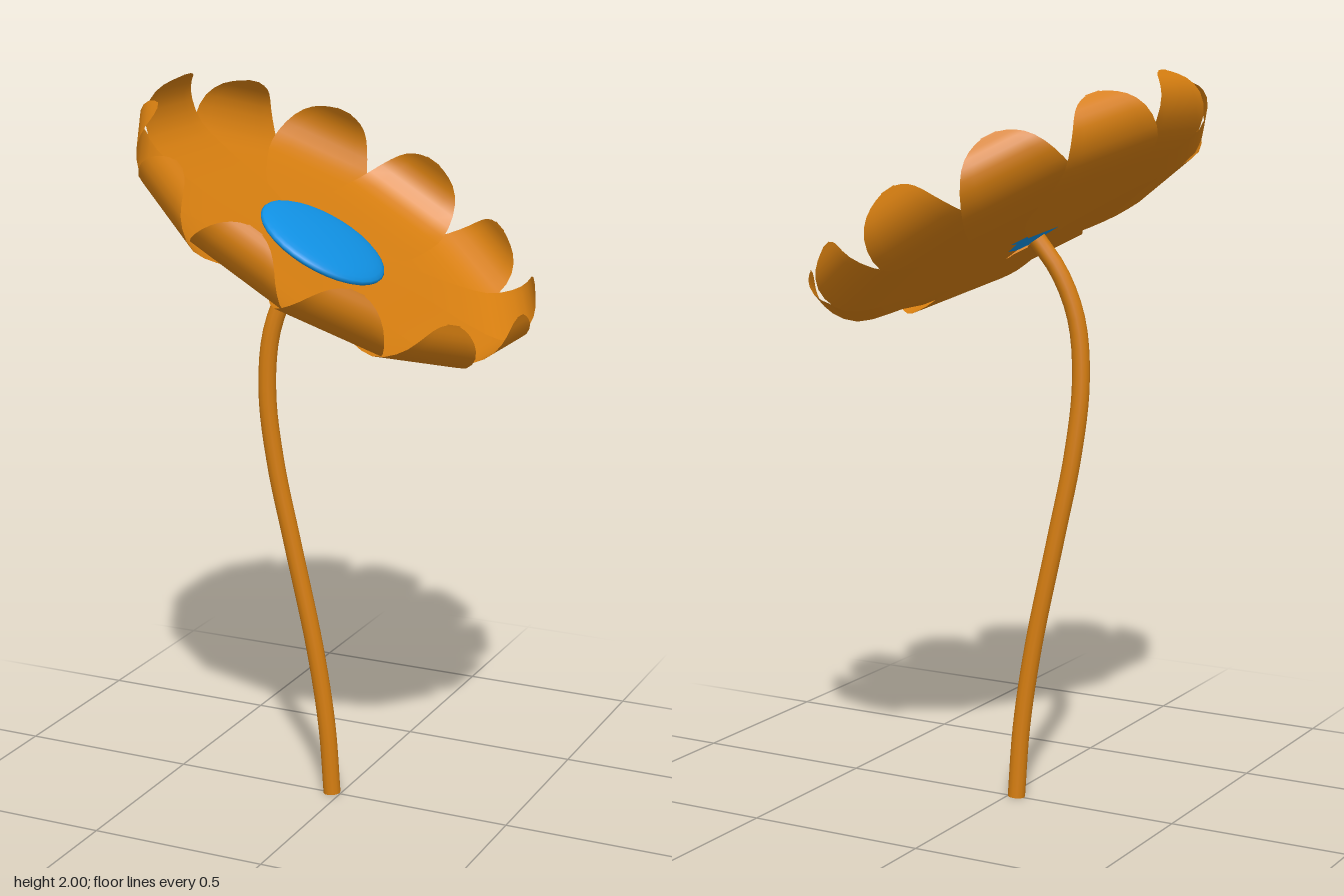
import * as THREE from 'three';

const v3 = (x, y, z) => new THREE.Vector3(x, y, z);

// One cupped petal: a plane swept along a profile that runs outward, then curls up.
function petalGeometry() {
  const profile = new THREE.CatmullRomCurve3([
    v3(0.08, 0, 0), v3(0.25, 0.008, 0), v3(0.42, 0.018, 0), v3(0.52, 0.042, 0),
    v3(0.57, 0.1, 0), v3(0.575, 0.145, 0), v3(0.557, 0.19, 0),
  ]);
  const halfWidth = (s) => {
    if (s < 0.4) return 0.055 + 0.1 * Math.sin((s / 0.4) * Math.PI / 2);
    if (s < 0.6) return 0.155;
    return 0.155 * Math.sqrt(Math.max(0.02, 1 - ((s - 0.6) / 0.4) ** 2));
  };
  const geo = new THREE.PlaneGeometry(2, 1, 6, 18);
  const pos = geo.attributes.position;
  for (let i = 0; i < pos.count; i++) {
    const t = pos.getX(i);
    const s = Math.sin((pos.getY(i) + 0.5) * Math.PI / 2);
    const p = profile.getPointAt(Math.min(1, s));
    pos.setXYZ(i, p.x, p.y, t * halfWidth(s));
  }
  geo.computeVertexNormals();
  return geo;
}

export function createModel() {
  const orange = new THREE.MeshStandardMaterial({ color: 0xd67e10, side: THREE.DoubleSide });
  orange.name = 'orange';
  const blue = new THREE.MeshStandardMaterial({ color: 0x1090e2 });
  blue.name = 'blue';

  const model = new THREE.Group();
  model.name = 'flower';
  const add = (parent, name, geo, mat) => {
    const mesh = new THREE.Mesh(geo, mat);
    mesh.name = name;
    parent.add(mesh);
    return mesh;
  };

  // Curved stem
  const path = new THREE.CatmullRomCurve3([
    v3(-0.025, 0, 0), v3(-0.037, 0.2, 0.007), v3(-0.068, 0.43, 0.018),
    v3(-0.128, 0.74, 0.036), v3(-0.168, 0.96, 0.052), v3(-0.186, 1.16, 0.064),
    v3(-0.172, 1.33, 0.064), v3(-0.128, 1.455, 0.05), v3(-0.07, 1.545, 0.03),
  ]);
  add(model, 'stem', new THREE.TubeGeometry(path, 40, 0.024, 12, false), orange);
  const cap = add(model, 'stemBase', new THREE.CircleGeometry(0.024, 12), orange);
  cap.rotation.x = Math.PI / 2;
  cap.position.set(-0.025, 0.001, 0);

  // Tilted flower head
  const head = new THREE.Group();
  head.name = 'flowerHead';
  head.position.set(-0.064, 1.549, 0);
  head.rotation.z = -0.535;
  model.add(head);

  // Twelve petals, overlapping in three layers
  const petal = petalGeometry();
  for (let k = 0; k < 12; k++) {
    const mesh = add(head, 'petal' + (k + 1), petal, orange);
    mesh.rotation.y = -k * Math.PI / 6;
    mesh.position.y = [0, -0.014, -0.007][k % 3];
  }

  // Domed centre
  const centre = add(head, 'centre', new THREE.SphereGeometry(0.184, 32, 16), blue);
  centre.scale.y = 0.17;
  centre.position.y = 0.028;

  return model;
}
